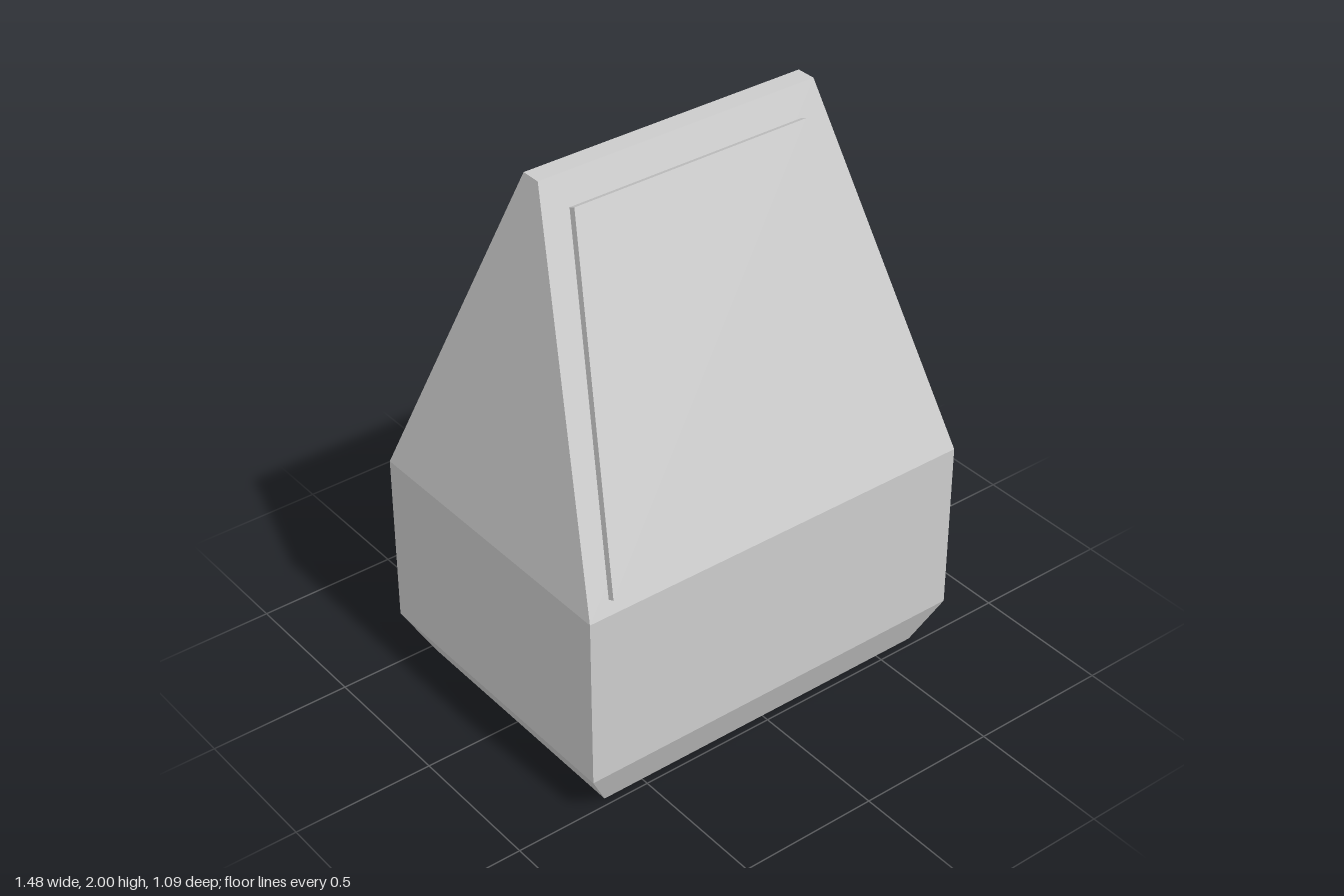
import * as THREE from 'three';

// Body levels from bottom to top: height, half width, half depth
const LEVELS = [
  [0, 0.65, 0.475],
  [0.16, 0.74, 0.54],
  [0.785, 0.74, 0.54],
  [2, 0.525, 0.035],
];

const material = new THREE.MeshStandardMaterial({ color: 0xcccccc, flatShading: true });

// Box with three height bands, each row of corners moved to its level
function bodyGeometry() {
  const box = new THREE.BoxGeometry(2, 3, 2, 1, 3, 1);
  const p = box.attributes.position;
  for (let i = 0; i < p.count; i++) {
    const [y, hx, hz] = LEVELS[Math.round(p.getY(i) + 1.5)];
    p.setXYZ(i, p.getX(i) * hx, y, p.getZ(i) * hz);
  }
  const geometry = box.toNonIndexed();
  geometry.computeVertexNormals();
  return geometry;
}

// Thin tapered plate lying on the sloping front face
function panelGeometry(bottom, top, height, thickness) {
  const shape = new THREE.Shape([
    new THREE.Vector2(-bottom, 0),
    new THREE.Vector2(bottom, 0),
    new THREE.Vector2(top, height),
    new THREE.Vector2(-top, height),
  ]);
  return new THREE.ExtrudeGeometry(shape, { depth: thickness, bevelEnabled: false });
}

export function createModel() {
  const group = new THREE.Group();

  const body = new THREE.Mesh(bodyGeometry(), material);
  body.name = 'body';
  group.add(body);

  const [, , [y0, , z0], [y1, , z1]] = LEVELS;
  const slope = (z0 - z1) / (y1 - y0);
  const tilt = Math.atan(slope);
  const base = 0.83;
  const panel = new THREE.Mesh(panelGeometry(0.655, 0.443, 1.162, 0.026), material);
  panel.name = 'frontPanel';
  panel.position.set(0, base, z0 - (base - y0) * slope);
  panel.rotation.x = -tilt;
  group.add(panel);

  // Centre the depth, as the panel stands slightly proud of the body
  body.position.z -= 0.002;
  panel.position.z -= 0.002;
  return group;
}
